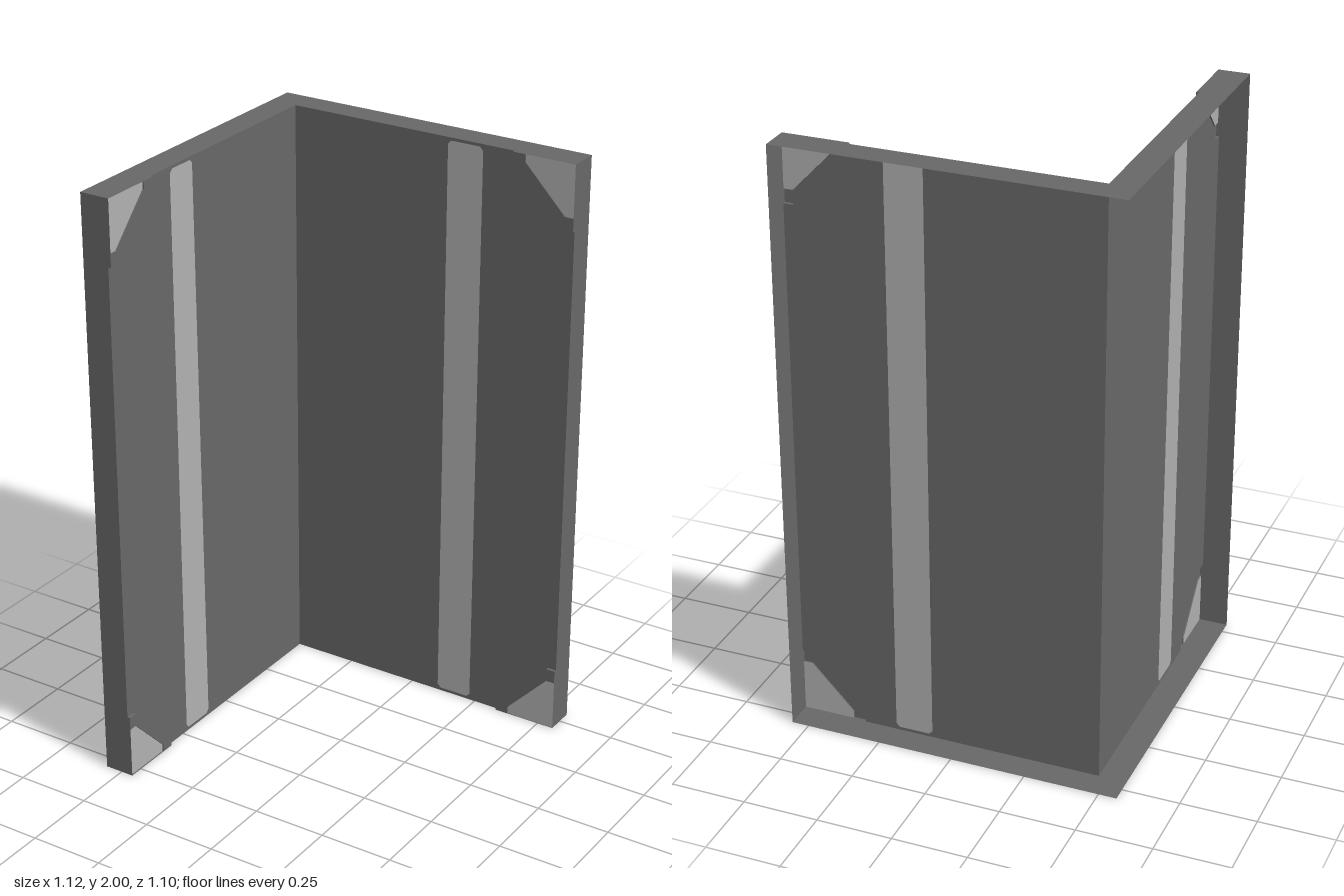
import * as THREE from 'three';

const H = 2, BUMP = 0.01, RECESS = 0.005;
const X0 = -0.56, X1 = 0.557, Z0 = -0.55, Z1 = 0.548; // outer limits
const XI = -0.467, ZI = -0.457;                       // inner wall planes

const darkGrey = new THREE.MeshStandardMaterial({ color: 0x686868, side: THREE.DoubleSide });
const lightGrey = new THREE.MeshStandardMaterial({ color: 0xb1b1b1, side: THREE.DoubleSide });

const toVectors = (pts) => pts.map(([x, y]) => new THREE.Vector2(x, y));

function mesh(name, geometry, material) {
  const m = new THREE.Mesh(geometry, material);
  m.name = name;
  return m;
}

// Flat plate from an outline, with optional holes, at depth z
function plate(name, pts, material, z = 0, holes = []) {
  const shape = new THREE.Shape(toVectors(pts));
  for (const h of holes) shape.holes.push(new THREE.Path(toVectors(h)));
  return mesh(name, new THREE.ShapeGeometry(shape).translate(0, 0, z), material);
}

// Narrow step joining a polyline at depth za to the same line at depth zb
function step(name, pts, za, zb) {
  const pos = [];
  for (let i = 0; i < pts.length - 1; i++) {
    const [a, b] = [pts[i], pts[i + 1]];
    pos.push(...a, za, ...b, za, ...b, zb, ...a, za, ...b, zb, ...a, zb);
  }
  const g = new THREE.BufferGeometry();
  g.setAttribute('position', new THREE.Float32BufferAttribute(pos, 3));
  g.computeVertexNormals();
  return mesh(name, g, darkGrey);
}

// One inner wall: u runs from the inner corner to the free end, s mirrors it
function wall(name, start, end, s, stripTopEdge) {
  const group = new THREE.Group();
  group.name = name;
  const map = (pts) => pts.map(([u, v]) => [u * s, v]);

  // Bracket edge lines, measured from the free end
  const line = (w, h, top) =>
    [[end - w, 0], [end - w, 0.025], [end - 0.03, h], [end, h]].map(([u, v]) => [u, top ? H - v : v]);

  // Light stripe with clipped corners
  const c = 0.012, l = 0.103, r = 0.229, b = 0.01, t = H - 0.01;
  const stripe = map([
    [l + c, b], [r - c, b], [r, b + c], [r, t - c], [r - c, t],
    [stripTopEdge + c, t], [stripTopEdge, t - c], [l, b + c],
  ]);
  group.add(plate('lightStripe', stripe, lightGrey));

  // Main panel, notched for the brackets and cut for the stripe
  const panel = map([[start, 0], ...line(0.218, 0.22, false), ...line(0.218, 0.22, true).reverse(), [start, H]]);
  group.add(plate('wallPanel', panel, darkGrey, 0, [stripe]));

  // Raised corner brackets with light inserts
  for (const top of [false, true]) {
    const outer = map(line(0.218, 0.22, top));
    const inner = map(line(0.174, 0.175, top));
    const corner = [end * s, top ? H : 0];
    group.add(
      plate('cornerBracket', [...outer, ...inner.slice().reverse()], darkGrey, BUMP),
      step('bracketEdge', outer, 0, BUMP),
      step('insertEdge', inner, BUMP - RECESS, BUMP),
      plate('cornerInsert', [...inner, corner], lightGrey, BUMP - RECESS),
    );
  }
  return group;
}

// Free end of a wall, widened at the brackets
function endCap(name, thickness) {
  const w = thickness, b = thickness + BUMP, h = 0.22;
  return plate(name, [[0, 0], [b, 0], [b, h], [w, h], [w, H - h], [b, H - h], [b, H], [0, H]], darkGrey);
}

export function createModel() {
  const model = new THREE.Group();
  model.name = 'cornerWall';

  const back = wall('backWall', XI, X1, 1, 0.103);
  back.position.z = ZI;

  const side = wall('sideWall', ZI, Z1, -1, 0.114);
  side.rotation.y = Math.PI / 2;
  side.position.x = XI;

  // End caps
  const sideEnd = endCap('sideWallEnd', XI - X0);
  sideEnd.position.set(X0, 0, Z1);
  const backEnd = endCap('backWallEnd', ZI - Z0);
  backEnd.rotation.y = -Math.PI / 2;
  backEnd.position.set(X1, 0, Z0);

  // L-shaped top and bottom rims
  const rim = [
    [X0, Z0], [X1, Z0], [X1, ZI + BUMP], [X1 - 0.218, ZI + BUMP], [X1 - 0.218, ZI], [XI, ZI],
    [XI, Z1 - 0.218], [XI + BUMP, Z1 - 0.218], [XI + BUMP, Z1], [X0, Z1],
  ];
  const topRim = plate('topRim', rim.map(([x, z]) => [x, -z]), darkGrey);
  topRim.rotation.x = -Math.PI / 2;
  topRim.position.y = H;
  const bottomRim = plate('bottomRim', rim, darkGrey);
  bottomRim.rotation.x = Math.PI / 2;

  model.add(back, side, sideEnd, backEnd, topRim, bottomRim);
  return model;
}
